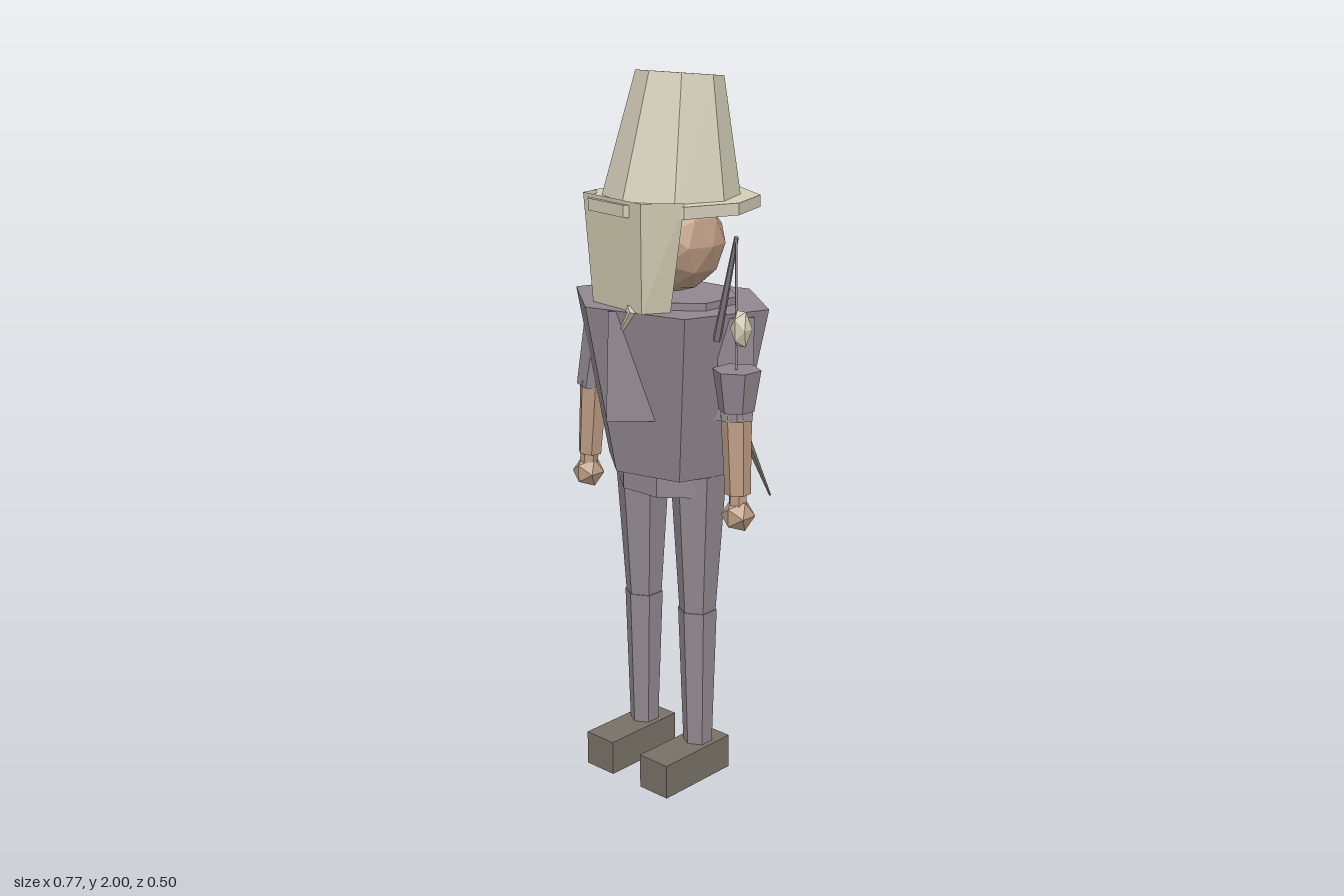
import * as THREE from 'three';

const mat = (name, color) => {
  const m = new THREE.MeshStandardMaterial({ color, flatShading: true });
  m.name = name;
  return m;
};

export function createModel() {
  const cloth = mat('dusty purple cloth', 0x91888f);
  const skin = mat('tan skin', 0xbc9c84);
  const straw = mat('pale straw', 0xd3cdb8);
  const leather = mat('dark brown leather', 0x777066);
  const strawSheet = mat('pale straw sheet', 0xd0cab0);
  strawSheet.side = THREE.DoubleSide;

  const model = new THREE.Group();
  model.name = 'figure';
  const body = new THREE.Group();
  body.name = 'body';
  body.position.x = -0.055;
  model.add(body);

  const add = (parent, name, geo, material, x = 0, y = 0, z = 0) => {
    const m = new THREE.Mesh(geo, material);
    m.name = name;
    m.position.set(x, y, z);
    parent.add(m);
    return m;
  };
  // Tapered prism from a (radius ra) to b (radius rb)
  const limb = (parent, name, a, b, ra, rb, sides, material) => {
    const p = new THREE.Vector3(...a), q = new THREE.Vector3(...b);
    const d = q.clone().sub(p);
    const m = add(parent, name, new THREE.CylinderGeometry(rb, ra, d.length(), sides), material);
    m.position.copy(p).add(q).multiplyScalar(0.5);
    m.quaternion.setFromUnitVectors(new THREE.Vector3(0, 1, 0), d.normalize());
    return m;
  };
  // Upright prism squashed into an oval; turn is applied before squashing
  const oval = (name, topR, botR, y0, y1, sides, turn, sx, sz) => {
    const g = new THREE.CylinderGeometry(topR, botR, y1 - y0, sides);
    g.rotateY(turn);
    g.scale(sx, 1, sz);
    return add(body, name, g, cloth, 0, (y0 + y1) / 2, 0);
  };

  // Torso, pointed tunic flaps, collar and hips
  const torsoGeo = oval('torso', 1, 0.66, 0.92, 1.39, 6, Math.PI / 4, 0.31, 0.25);
  torsoGeo.name = 'torso';
  oval('tunicFlaps', 0.235, 0.248, 1.09, 1.388, 4, 0, 1, 1);
  oval('collar', 0.205, 0.205, 1.37, 1.41, 8, Math.PI / 8, 1, 0.8);
  oval('hips', 0.165, 0.165, 0.86, 0.94, 8, Math.PI / 8, 1, 0.8);

  // Legs, feet and arms
  for (const s of [-1, 1]) {
    const side = s < 0 ? 'right' : 'left';
    limb(body, side + 'Thigh', [s * 0.107, 0.92, 0], [s * 0.105, 0.5, 0], 0.08, 0.052, 6, cloth);
    limb(body, side + 'Shin', [s * 0.105, 0.51, 0], [s * 0.107, 0.09, 0], 0.056, 0.042, 6, cloth);
    add(body, side + 'Shoe', new THREE.BoxGeometry(0.104, 0.1, 0.264), leather, s * 0.107, 0.052, 0.054);
    limb(body, side + 'Sleeve', [s * 0.235, 1.37, 0], [s * 0.272, 1.1, 0.03], 0.06, 0.048, 6, cloth);
    limb(body, side + 'Forearm', [s * 0.27, 1.12, 0.03], [s * 0.284, 0.9, 0.037], 0.042, 0.035, 6, skin);
    limb(body, side + 'Wrist', [s * 0.284, 0.91, 0.037], [s * 0.288, 0.86, 0.04], 0.026, 0.026, 6, skin);
    add(body, side + 'Hand', new THREE.IcosahedronGeometry(0.047, 0), skin, s * 0.288, 0.842, 0.04);
  }

  // Head
  add(body, 'head', new THREE.IcosahedronGeometry(0.139, 1), skin, 0, 1.543, -0.022);

  // Hat: nine-sided brim and a crown leaning slightly back
  const brim = new THREE.CylinderGeometry(0.235, 0.235, 0.032, 9);
  brim.rotateY(Math.PI / 2);
  add(body, 'hatBrim', brim, straw, 0, 1.654, -0.014);
  const crown = add(body, 'hatCrown', new THREE.CylinderGeometry(0.118, 0.19, 0.34, 8), straw, 0, 1.819, -0.026);
  crown.rotation.x = -0.095;

  // Folded mask hanging from the brim: panels between two outlines (x, z)
  const top = [[-0.165, 0.11], [-0.155, 0.17], [0.105, 0.219], [0.18, 0.135]];
  const low = [[-0.125, 0.125], [-0.118, 0.175], [0.095, 0.207], [0.135, 0.14]];
  const pos = [];
  const put = (o, y) => pos.push(o[0], y, o[1]);
  for (let i = 0; i < 3; i++) {
    put(low[i], 1.39); put(low[i + 1], 1.39); put(top[i + 1], 1.68);
    put(low[i], 1.39); put(top[i + 1], 1.68); put(top[i], 1.68);
  }
  const maskGeo = new THREE.BufferGeometry();
  maskGeo.setAttribute('position', new THREE.Float32BufferAttribute(pos, 3));
  maskGeo.computeVertexNormals();
  add(body, 'mask', maskGeo, strawSheet);
  limb(body, 'maskTip', [0.06, 1.395, 0.2], [0.025, 1.342, 0.205], 0.022, 0.012, 4, straw);

  // Row of spikes along the back of the belt
  for (let i = -2; i <= 2; i++) {
    limb(body, 'backSpike', [i * 0.079, 0.99, -0.145], [i * 0.096, 0.815, -0.21], 0.011, 0.003, 5, leather);
  }

  // Rod with hanging line, lure and bucket
  limb(model, 'rod', [0.205, 1.33, 0.098], [0.327, 1.62, 0.165], 0.012, 0.006, 5, cloth);
  limb(model, 'line', [0.327, 1.615, 0.165], [0.33, 1.28, 0.165], 0.004, 0.004, 4, cloth);
  const lure = add(model, 'lure', new THREE.IcosahedronGeometry(0.028, 0), straw, 0.35, 1.393, 0.17);
  lure.scale.y = 1.9;
  add(model, 'bucket', new THREE.CylinderGeometry(0.063, 0.046, 0.108, 6), cloth, 0.328, 1.23, 0.16);

  return model;
}
